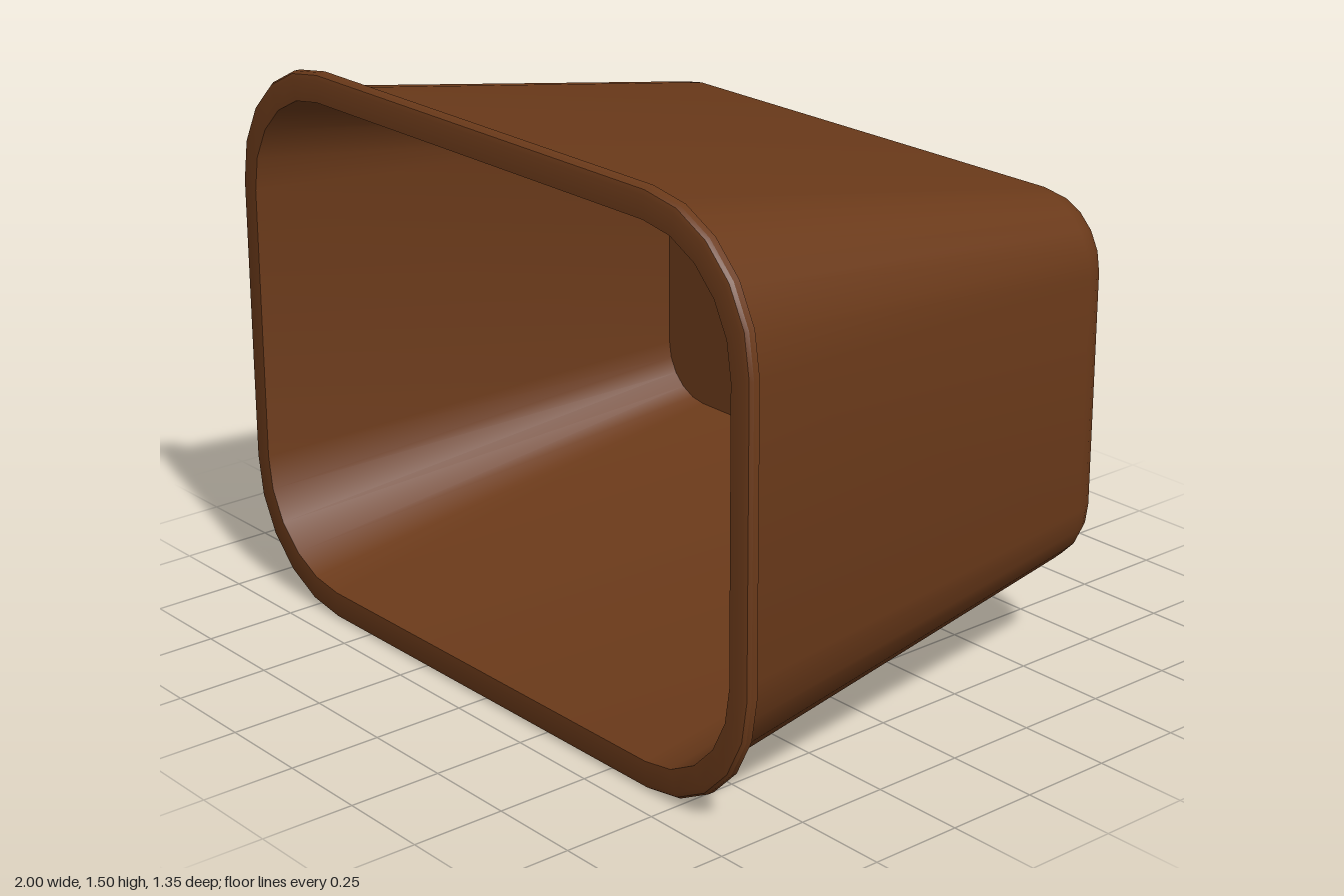
import * as THREE from 'three';
import { toCreasedNormals } from 'three/addons/utils/BufferGeometryUtils.js';

const CENTRE_Y = 0.7475;
const CORNER_STEPS = 5;

// Rounded rectangle, counter-clockwise seen from the front: half width, half height, corner radius, z
function ring([w, h, r, z]) {
  const points = [];
  [[1, 1], [-1, 1], [-1, -1], [1, -1]].forEach(([sx, sy], corner) => {
    for (let i = 0; i <= CORNER_STEPS; i++) {
      const a = (corner + i / CORNER_STEPS) * Math.PI / 2;
      points.push([
        sx * (w - r) + r * Math.cos(a),
        CENTRE_Y + sy * (h - r) + r * Math.sin(a),
        z,
      ]);
    }
  });
  return points;
}

// Joins a series of rings; a section of zero size closes the end
function loft(name, sections, material) {
  const rings = sections.map(ring);
  const positions = [];
  const count = rings[0].length;
  for (let s = 0; s < rings.length - 1; s++) {
    const a = rings[s], b = rings[s + 1];
    for (let i = 0; i < count; i++) {
      const j = (i + 1) % count;
      if (sections[s][0] > 0) positions.push(...a[i], ...a[j], ...b[j]);
      if (sections[s + 1][0] > 0) positions.push(...a[i], ...b[j], ...b[i]);
    }
  }
  const geometry = new THREE.BufferGeometry();
  geometry.setAttribute('position', new THREE.Float32BufferAttribute(positions, 3));
  const mesh = new THREE.Mesh(toCreasedNormals(geometry, 0.55), material);
  mesh.name = name;
  return mesh;
}

export function createModel() {
  const group = new THREE.Group();
  group.name = 'openBin';
  const material = new THREE.MeshStandardMaterial({ color: 0x6b3a1a });

  // Tapered outer shell with a rounded edge around the closed back
  const shell = [[0, 0, 0, -0.675]];
  const steps = 5;
  for (let i = 0; i <= steps; i++) {
    const a = (1 - i / steps) * Math.PI / 2;
    const inset = 0.1 * (1 - Math.cos(a));
    shell.push([0.842 - inset, 0.5 - inset, 0.19 - inset, -0.585 - 0.09 * Math.sin(a)]);
  }
  shell.push([0.965, 0.708, 0.34, 0.645]);
  group.add(loft('outerShell', shell, material));

  // Protruding rim with a softened front edge
  group.add(loft('rim', [
    [0.965, 0.708, 0.34, 0.645],
    [1, 0.7475, 0.36, 0.645],
    [1, 0.7475, 0.36, 0.662],
    [0.994, 0.7415, 0.354, 0.671],
    [0.982, 0.7295, 0.342, 0.675],
    [0.938, 0.672, 0.3, 0.675],
  ], material));

  // Tapered inside walls and flat inner back
  group.add(loft('innerLining', [
    [0.938, 0.672, 0.3, 0.675],
    [0.8, 0.46, 0.15, -0.62],
    [0, 0, 0, -0.62],
  ], material));

  return group;
}
